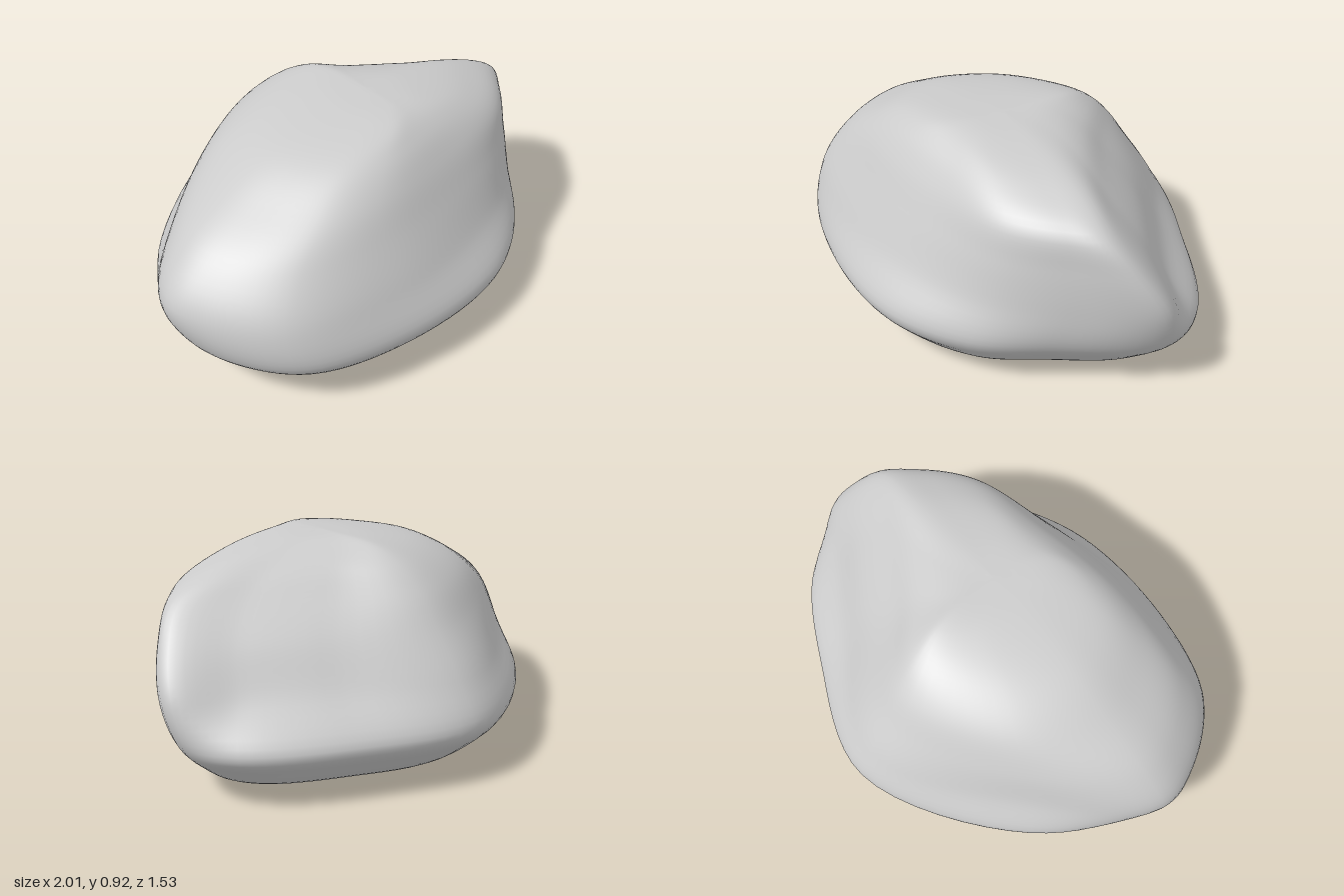
import * as THREE from 'three';
import { mergeVertices } from 'three/addons/utils/BufferGeometryUtils.js';

const { lerp } = THREE.MathUtils;
const CROWN = new THREE.Vector3(0.08, 0.915, 0.09);
const UNDERSIDE = new THREE.Vector3(0.02, 0.02, 0);
const AROUND = 96, UP = 56;

// Key outlines (x,z pairs) from the back corner round by the left, front and right
const GIRDLE = [-.06, -.765, .48, -.6, .86, -.37, .96, -.16, .77, .23, .58, .52,
  .25, .72, -.25, .76, -.7, .64, -.91, .38, -.95, .12, -.72, -.35];
const MIDDLE = [-.05, -.69, .45, -.46, .77, -.27, 1, -.12, .82, .18, .6, .44,
  .26, .61, -.25, .69, -.72, .6, -.95, .34, -1, .13, -.66, -.29];
const SHOULDER = [-.02, -.47, .3, -.27, .58, -.1, .83, .06, .75, .2, .55, .37,
  .22, .46, -.2, .52, -.45, .45, -.59, .28, -.64, .1, -.47, -.23];

// An outline drawn in towards the axis under the crown
const shrink = (outline, scaleX, scaleZ) =>
  outline.map((v, i) => (i % 2 ? lerp(CROWN.z, v, scaleZ) : lerp(CROWN.x, v, scaleX)));

// An outline between two others
const blend = (from, to, amountX, amountZ) =>
  from.map((v, i) => lerp(v, to[i], i % 2 ? amountZ : amountX));

// Height and outline of each level, from the ground up
const LEVELS = [
  [0.01, shrink(GIRDLE, 0.68, 0.67)],
  [0.13, shrink(GIRDLE, 0.89, 0.9)],
  [0.24, GIRDLE],
  [0.42, MIDDLE],
  [0.6, blend(MIDDLE, SHOULDER, 0.36, 0.55)],
  [0.74, SHOULDER],
  [0.84, shrink(SHOULDER, 0.7, 0.8)],
  [0.9, shrink(SHOULDER, 0.27, 0.55)],
];

// Smooth closed curve round the boulder at one level
function ringCurve([y, outline]) {
  const points = [];
  for (let i = 0; i < outline.length; i += 2) points.push(new THREE.Vector3(outline[i], y, outline[i + 1]));
  return new THREE.CatmullRomCurve3(points, true);
}

// Skin the rings with smooth ribs running from the underside to the crown
function boulderGeometry() {
  const rings = LEVELS.map(ringCurve);
  const positions = [], indices = [];
  for (let j = 0; j < AROUND; j++) {
    const stations = rings.map((ring) => ring.getPoint(j / AROUND));
    const rib = new THREE.CatmullRomCurve3([UNDERSIDE, ...stations, CROWN]);
    for (let i = 0; i <= UP; i++) {
      const p = rib.getPoint(i / UP);
      positions.push(p.x, Math.max(p.y, 0), p.z);

      // Quads between neighbouring ribs, single triangles at the two poles
      const a = j * (UP + 1) + i, b = ((j + 1) % AROUND) * (UP + 1) + i;
      if (i > 0 && i < UP) indices.push(a, a + 1, b);
      if (i < UP - 1) indices.push(b, a + 1, b + 1);
    }
  }
  const geometry = new THREE.BufferGeometry();
  geometry.setAttribute('position', new THREE.Float32BufferAttribute(positions, 3));
  geometry.setIndex(indices);
  const welded = mergeVertices(geometry, 1e-5);
  welded.computeVertexNormals();
  return welded;
}

export function createModel() {
  const group = new THREE.Group();
  group.name = 'rock';
  const boulder = new THREE.Mesh(boulderGeometry(), new THREE.MeshStandardMaterial({ color: 0xcccccc }));
  boulder.name = 'boulder';
  group.add(boulder);
  return group;
}
